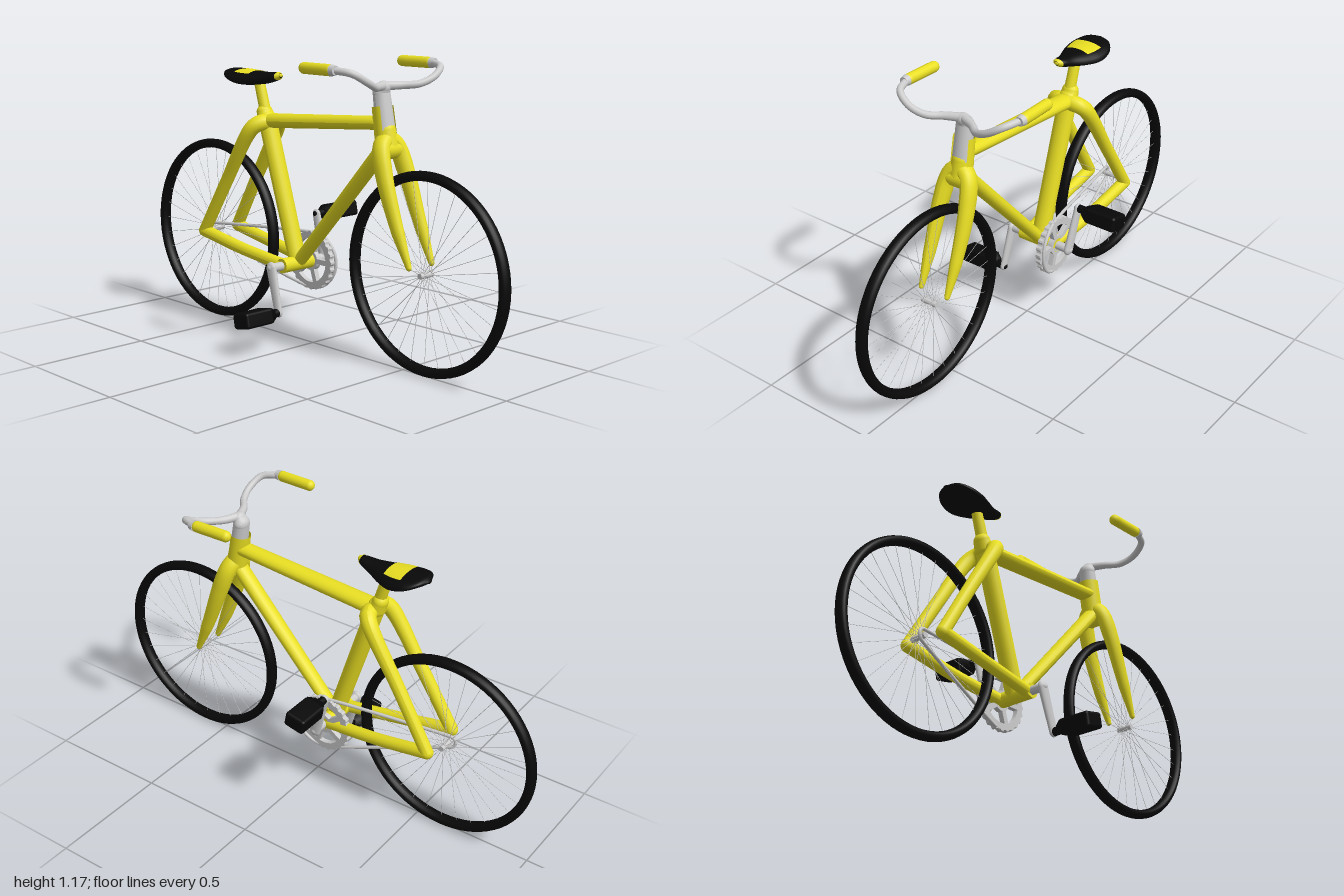
import * as THREE from 'three';
import { ParametricGeometry } from 'three/addons/geometries/ParametricGeometry.js';
import { RoundedBoxGeometry } from 'three/addons/geometries/RoundedBoxGeometry.js';

const V = (x, y, z = 0) => new THREE.Vector3(x, y, z);
const yellow = new THREE.MeshStandardMaterial({ color: 0xe8de22, side: THREE.DoubleSide });
const black = new THREE.MeshStandardMaterial({ color: 0x080808, side: THREE.DoubleSide });
const grey = new THREE.MeshStandardMaterial({ color: 0xcccccc });

export function createModel() {
  const root = new THREE.Group();

  function add(name, geometry, material, parent = root) {
    const mesh = new THREE.Mesh(geometry, material);
    mesh.name = name;
    parent.add(mesh);
    return mesh;
  }

  // Round-ended tube through points, with a radius per point and a width factor across z
  function tube(name, points, radii, material, zScale = 1, parent = root) {
    const group = new THREE.Group();
    group.name = name;
    parent.add(group);
    const curve = points.length === 2
      ? new THREE.LineCurve3(points[0], points[1])
      : new THREE.CatmullRomCurve3(points);
    const steps = points.length === 2 ? 4 : 32, sides = 18;
    const geo = new THREE.TubeGeometry(curve, steps, 1, sides);
    const pos = geo.attributes.position, nor = geo.attributes.normal;
    for (let i = 0; i < pos.count; i++) {
      const t = Math.floor(i / (sides + 1)) / steps;
      const f = t * (radii.length - 1), k = Math.min(Math.floor(f), radii.length - 2);
      const r = THREE.MathUtils.lerp(radii[k], radii[k + 1], f - k);
      const c = curve.getPointAt(t);
      pos.setXYZ(i, c.x + nor.getX(i) * r, c.y + nor.getY(i) * r, c.z + nor.getZ(i) * r * zScale);
    }
    geo.computeVertexNormals();
    add(name + 'Body', geo, material, group);
    [[points[0], radii[0]], [points.at(-1), radii.at(-1)]].forEach(([p, r]) => {
      const cap = add(name + 'End', new THREE.SphereGeometry(r, 16, 12), material, group);
      cap.position.copy(p);
      cap.scale.z = zScale;
    });
  }

  // Cylinder lying along z
  function disc(name, x, y, halfLength, radius, material, parent) {
    const mesh = add(name, new THREE.CylinderGeometry(radius, radius, halfLength * 2, 24).rotateX(Math.PI / 2), material, parent);
    mesh.position.set(x, y, 0);
  }

  // Wheels: tyre, hub and spokes
  for (const [name, x] of [['frontWheel', 0.61], ['rearWheel', -0.61]]) {
    const wheel = new THREE.Group();
    wheel.name = name;
    wheel.position.set(x, 0.39, 0);
    root.add(wheel);
    add('tyre', new THREE.TorusGeometry(0.371, 0.019, 16, 72), black, wheel).scale.z = 1.35;
    disc('hub', 0, 0, 0.035, 0.011, grey, wheel);
    for (let i = 0; i < 32; i++) {
      const a = (i / 32) * Math.PI * 2, side = i % 2 ? 0.02 : -0.02;
      const from = V(Math.cos(a) * 0.01, Math.sin(a) * 0.01, side);
      const to = V(Math.cos(a) * 0.36, Math.sin(a) * 0.36, 0);
      add('spoke', new THREE.TubeGeometry(new THREE.LineCurve3(from, to), 1, 0.001, 5), grey, wheel);
    }
  }

  // Main frame tubes
  tube('topTube', [V(-0.27, 0.89), V(0.39, 0.938)], [0.03, 0.026], yellow, 1.45);
  tube('seatTube', [V(-0.275, 0.9), V(-0.09, 0.325)], [0.035, 0.033], yellow, 1.15);
  tube('downTube', [V(-0.08, 0.33), V(0.405, 0.86)], [0.025, 0.029], yellow, 1.25);
  tube('seatCollar', [V(-0.29, 0.925), V(-0.275, 0.89)], [0.031, 0.036], yellow, 1.15);
  tube('seatPost', [V(-0.325, 1.055), V(-0.28, 0.91)], [0.022, 0.024], yellow);
  disc('bottomBracket', -0.09, 0.32, 0.09, 0.03, yellow);

  // Rear triangle and fork, mirrored on both sides
  for (const s of [1, -1]) {
    tube('seatStay', [V(-0.262, 0.885, 0), V(-0.268, 0.883, s * 0.05), V(-0.29, 0.86, s * 0.073),
      V(-0.44, 0.625, s * 0.084), V(-0.58, 0.395, s * 0.092)], [0.035, 0.03, 0.027, 0.026, 0.026], yellow);
    tube('chainStay', [V(-0.58, 0.395, s * 0.092), V(-0.34, 0.353, s * 0.086), V(-0.1, 0.32, s * 0.07)],
      [0.026, 0.025, 0.025], yellow);
    tube('forkBlade', [V(0.403, 0.885, 0), V(0.416, 0.85, s * 0.042), V(0.45, 0.75, s * 0.061),
      V(0.515, 0.575, s * 0.065), V(0.581, 0.422, s * 0.063)], [0.036, 0.037, 0.032, 0.026, 0.012], yellow, 0.85);
  }
  tube('forkCrown', [V(0.418, 0.84, -0.04), V(0.418, 0.84, 0.04)], [0.036, 0.036], yellow);

  // Steering column with a yellow sleeve left open at the front
  tube('stem', [V(0.4, 0.89), V(0.374, 1.052)], [0.036, 0.031], grey, 1.15);
  tube('stemClamp', [V(0.374, 1.05), V(0.385, 1.072)], [0.031, 0.025], grey, 1.2);
  const sleeve = add('headSleeve', new THREE.CylinderGeometry(0.042, 0.044, 0.12, 24, 1, true,
    Math.PI * 0.84, Math.PI * 1.32), yellow);
  sleeve.position.set(0.391, 0.942, 0);
  sleeve.rotation.z = 0.16;
  tube('headLower', [V(0.396, 0.91), V(0.408, 0.85)], [0.04, 0.043], yellow);

  // Handlebar and grips
  for (const s of [1, -1]) {
    tube('handlebar', [V(0.385, 1.078, 0), V(0.415, 1.078, s * 0.065), V(0.457, 1.083, s * 0.12),
      V(0.474, 1.107, s * 0.18), V(0.455, 1.14, s * 0.238), V(0.385, 1.15, s * 0.268)],
      [0.018, 0.015, 0.014, 0.014, 0.014], grey);
    tube('grip', [V(0.37, 1.15, s * 0.268), V(0.235, 1.15, s * 0.265)], [0.022, 0.022], yellow);
    const collar = add('gripCollar', new THREE.CylinderGeometry(0.022, 0.018, 0.02, 20).rotateZ(Math.PI / 2), grey);
    collar.position.set(0.392, 1.15, s * 0.268);
  }

  // Saddle: stations of [x, half width, top, edge height, bottom]
  const stations = [
    [-0.5, 0.012, 1.085, 1.08, 1.075], [-0.48, 0.055, 1.095, 1.08, 1.065],
    [-0.44, 0.085, 1.095, 1.064, 1.048], [-0.38, 0.09, 1.093, 1.05, 1.032],
    [-0.32, 0.07, 1.09, 1.05, 1.035], [-0.26, 0.042, 1.09, 1.06, 1.045],
    [-0.21, 0.026, 1.092, 1.075, 1.06], [-0.19, 0.008, 1.087, 1.08, 1.072]];
  const upper = new THREE.CatmullRomCurve3(stations.map(([x, w, top]) => V(x, w, top)));
  const lower = new THREE.CatmullRomCurve3(stations.map(([x, , , edge, bottom]) => V(x, edge, bottom)));
  const saddlePart = (name, material, a0, a1, t0, t1, lift) => add(name, new ParametricGeometry((u, v, out) => {
    const a = THREE.MathUtils.lerp(a0, a1, u), t = THREE.MathUtils.lerp(t0, t1, v);
    const { x, y: width, z: top } = upper.getPoint(t);
    const { y: edge, z: bottom } = lower.getPoint(t);
    const sin = Math.sin(a), rise = sin > 0 ? top - edge : edge - bottom;
    out.set(x, edge + (rise + lift) * sin, -(width + lift) * Math.cos(a));
  }, 32, 32), material);
  saddlePart('saddle', black, 0, Math.PI * 2, 0, 1, 0);
  saddlePart('saddleStripe', yellow, Math.PI * 0.27, Math.PI * 0.73, 2.5 / 7, 3.8 / 7, 0.002);
  saddlePart('saddleNose', yellow, 0, Math.PI * 2, 6.2 / 7, 1, 0.002);
  for (const [x, width, material] of [[-0.5, 0.012, black], [-0.19, 0.009, yellow]]) {
    const end = add('saddleEnd', new THREE.SphereGeometry(1, 12, 8), material);
    end.position.set(x, 1.08, 0);
    end.scale.set(0.003, 0.007, width);
  }

  // Chainring with five windows
  const ring = new THREE.Shape();
  for (let i = 0; i < 96; i++) {
    const a = (i / 96) * Math.PI * 2, r = i % 4 < 2 ? 0.124 : 0.118;
    ring[i ? 'lineTo' : 'moveTo'](Math.cos(a) * r, Math.sin(a) * r);
  }
  for (let i = 0; i < 5; i++) {
    const a = (i / 5) * Math.PI * 2, b = a + Math.PI * 0.4, hole = new THREE.Path();
    hole.absarc(0, 0, 0.092, a + 0.12, b - 0.12, false);
    hole.absarc(0, 0, 0.042, b - 0.25, a + 0.25, true);
    ring.holes.push(hole);
  }
  add('chainring', new THREE.ExtrudeGeometry(ring, { depth: 0.022, bevelEnabled: false }), grey)
    .position.set(-0.09, 0.32, -0.09);

  // Chain running at a slant from the ring to the rear hub
  const loop = [];
  const arc = (cx, cy, cz, r, from, to) => {
    for (let i = 0; i <= 10; i++) {
      const a = THREE.MathUtils.lerp(from, to, i / 10);
      loop.push(V(cx + Math.cos(a) * r, cy + Math.sin(a) * r, cz - Math.cos(a) * r * 0.21));
    }
  };
  arc(-0.09, 0.32, -0.079, 0.117, -1.87, 1.6);
  arc(-0.61, 0.39, 0.025, 0.026, 1.6, 4.41);
  add('chain', new THREE.TubeGeometry(new THREE.CatmullRomCurve3(loop, true), 160, 0.007, 8, true), grey);

  // Crank arms and pedals
  for (const [s, px, py] of [[1, -0.04, 0.147], [-1, -0.14, 0.497]]) {
    const crank = new THREE.Group();
    crank.name = s > 0 ? 'leftCrank' : 'rightCrank';
    root.add(crank);
    tube('crankAxle', [V(-0.09, 0.32, s * 0.06), V(-0.09, 0.32, s * 0.145)], [0.018, 0.018], grey, 1, crank);
    tube('crankArm', [V(-0.09, 0.32, s * 0.145), V(px, py, s * 0.153)], [0.025, 0.02], grey, 0.6, crank);
    const pedal = new THREE.Group();
    pedal.name = 'pedal';
    pedal.position.set(px, py, 0);
    pedal.rotation.z = 0.2;
    crank.add(pedal);
    tube('pedalAxle', [V(0, 0, s * 0.155), V(0, 0, s * 0.2)], [0.017, 0.017], black, 1, pedal);
    add('pedalBlock', new RoundedBoxGeometry(0.09, 0.064, 0.14, 2, 0.012), black, pedal).position.z = s * 0.285;
    const neck = add('pedalNeck', new THREE.CylinderGeometry(0.058, 0.03, 0.035, 4)
      .rotateY(Math.PI / 4).rotateX(s * Math.PI / 2), black, pedal);
    neck.position.z = s * 0.203;
    neck.scale.y = 0.72;
  }
  return root;
}
